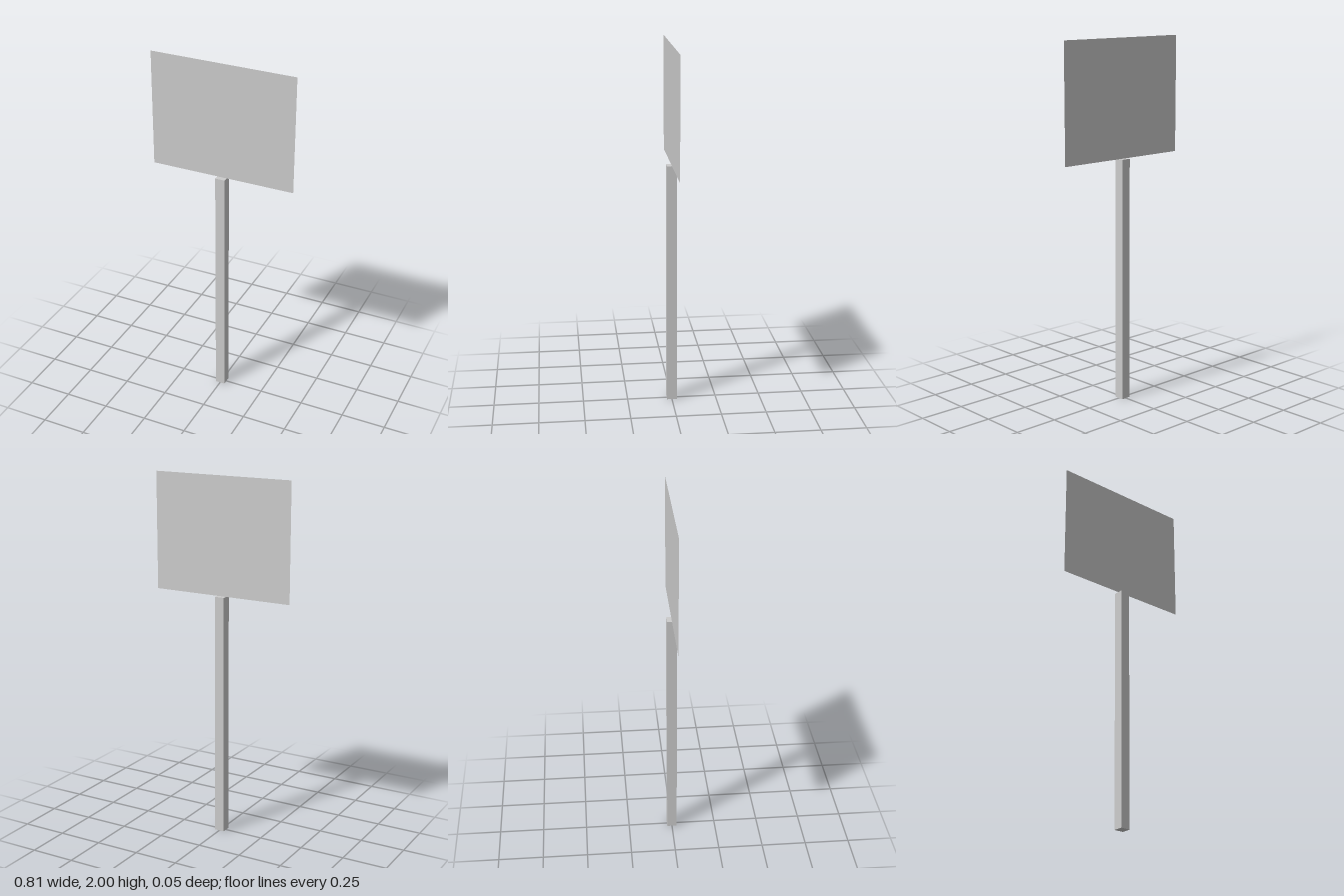
import * as THREE from 'three';

export function createModel() {
  const group = new THREE.Group();
  const boardBottom = 1.355, boardTop = 2, boardWidth = 0.81, postWidth = 0.055;

  // Square post, from the ground to the lower edge of the board
  const post = new THREE.Mesh(
    new THREE.BoxGeometry(postWidth, boardBottom, postWidth),
    new THREE.MeshStandardMaterial({ color: 0xcccccc, flatShading: true })
  );
  post.name = 'post';
  post.position.y = boardBottom / 2;
  group.add(post);

  // Paper-thin sign board, seen from both sides
  const board = new THREE.Mesh(
    new THREE.PlaneGeometry(boardWidth, boardTop - boardBottom),
    new THREE.MeshStandardMaterial({ color: 0xcccccc, flatShading: true, side: THREE.DoubleSide })
  );
  board.name = 'signBoard';
  board.position.y = (boardBottom + boardTop) / 2;
  group.add(board);

  return group;
}
